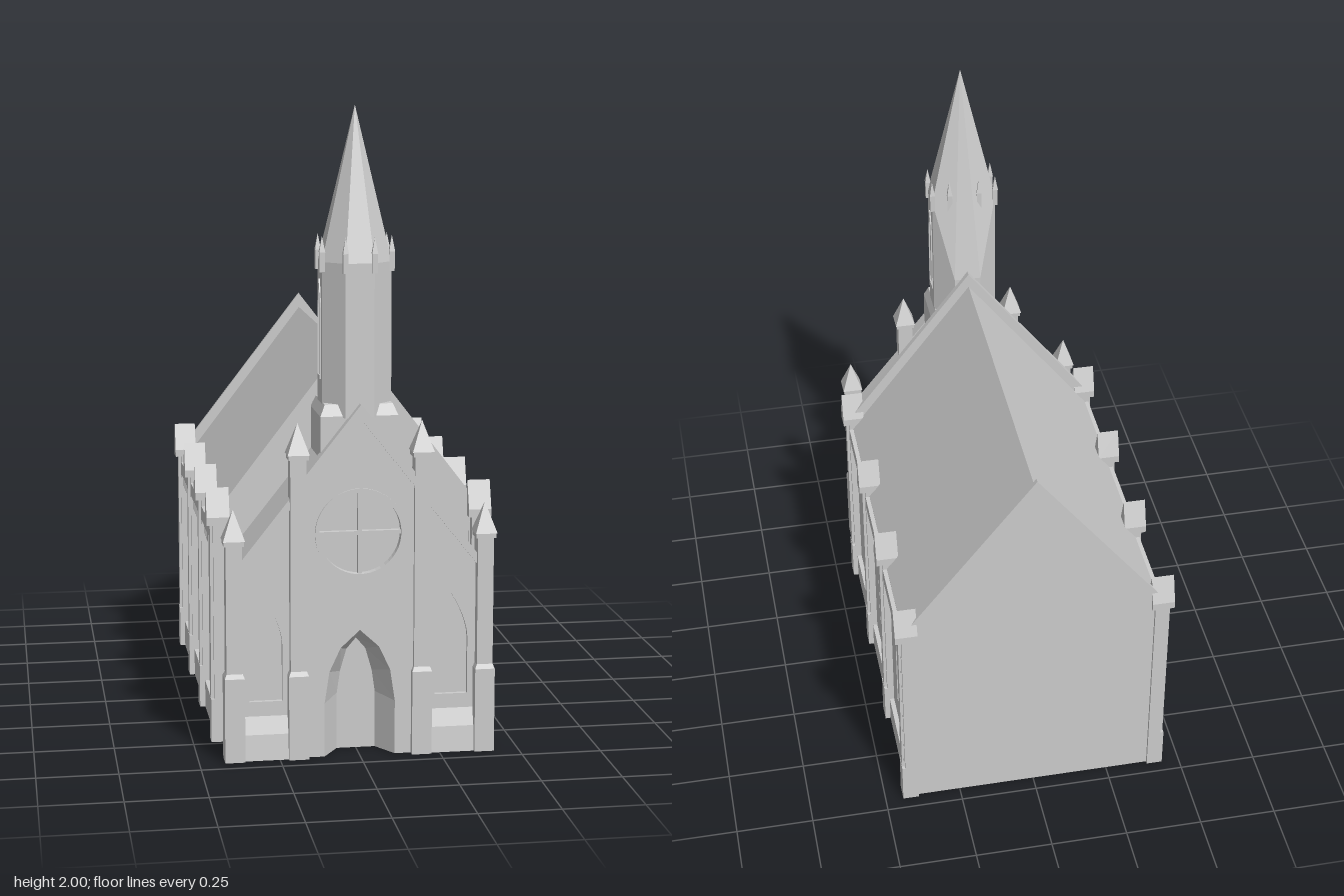
import * as THREE from 'three';

const mat = new THREE.MeshStandardMaterial({ color: 0xcccccc, flatShading: true, side: THREE.DoubleSide });

function add(parent, name, geo, x = 0, y = 0, z = 0) {
  const m = new THREE.Mesh(geo, mat);
  m.name = name;
  m.position.set(x, y, z);
  parent.add(m);
  return m;
}
// box given by its min and max corners
function box(parent, name, x0, x1, y0, y1, z0, z1) {
  return add(parent, name, new THREE.BoxGeometry(x1 - x0, y1 - y0, z1 - z0), (x0 + x1) / 2, (y0 + y1) / 2, (z0 + z1) / 2);
}
const shapeOf = (pts) => new THREE.Shape(pts.map(([x, y]) => new THREE.Vector2(x, y)));
function slab(parent, name, shape, z0, z1) {
  return add(parent, name, new THREE.ExtrudeGeometry(shape, { depth: z1 - z0, bevelEnabled: false, curveSegments: 24 }), 0, 0, z0);
}
// pointed arch outline, counter-clockwise from bottom left
function archPts(cx, w, y0, spring, top, n = 6) {
  const right = [];
  for (let i = 0; i <= n; i++) {
    const t = i / n;
    right.push([w * (1 - Math.pow(t, 1.7)), spring + (top - spring) * t]);
  }
  const left = right.slice(0, -1).reverse().map(([x, y]) => [-x, y]);
  return [[-w, y0], [w, y0], ...right, ...left].map(([x, y]) => [x + cx, y]);
}
const gable = (w, apex, slope) => shapeOf([[-w, 0], [w, 0], [w, apex - slope * w], [0, apex], [-w, apex - slope * w]]);
// inverted V band following a gable
const chevron = (w, apex, slope, t) => shapeOf([
  [-w, apex - slope * w], [-w, apex - slope * w - t], [0, apex - t],
  [w, apex - slope * w - t], [w, apex - slope * w], [0, apex]]);
// four-sided pyramid with faces along the axes
function pyramid(parent, name, half, y0, y1, x, z) {
  const g = new THREE.ConeGeometry(half * Math.SQRT2, y1 - y0, 4).rotateY(Math.PI / 4);
  return add(parent, name, g, x, (y0 + y1) / 2, z);
}
function triangles(pts) {
  const g = new THREE.BufferGeometry();
  g.setAttribute('position', new THREE.Float32BufferAttribute(pts.flat(), 3));
  g.computeVertexNormals();
  return g;
}

// one long wall of the nave, facing +x, centred on z = 0
function naveSide() {
  const g = new THREE.Group();
  const wall = shapeOf([[-0.57, 0], [0.57, 0], [0.57, 0.66], [-0.57, 0.66]]);
  for (const c of [-0.38, 0, 0.38]) {
    wall.holes.push(shapeOf(archPts(c, 0.075, 0.175, 0.37, 0.535)));
    const pane = add(g, 'naveWindowPane', new THREE.ShapeGeometry(shapeOf(archPts(c, 0.076, 0.174, 0.37, 0.537))), 0.39);
    pane.rotation.y = Math.PI / 2;
  }
  slab(g, 'naveWall', wall, 0, 0.025).rotation.y = Math.PI / 2;
  g.children[g.children.length - 1].position.set(0.385, 0, 0);
  box(g, 'navePlinth', 0.40, 0.425, 0, 0.09, -0.57, 0.57);
  box(g, 'naveCornice', 0.385, 0.432, 0.635, 0.68, -0.57, 0.57);
  // dentils under the cornice
  for (let b = -1; b <= 1; b++) {
    for (let i = 0; i < 9; i++) {
      const z = b * 0.38 + (i - 4) * 0.036;
      box(g, 'dentil', 0.40, 0.425, 0.592, 0.636, z - 0.01, z + 0.01);
    }
  }
  // stepped buttresses with gabled caps
  for (const z of [-0.57, -0.19, 0.19, 0.57]) {
    box(g, 'buttressBase', 0.39, 0.442, 0, 0.14, z - 0.028, z + 0.028);
    box(g, 'buttressShaft', 0.39, 0.432, 0.14, 0.72, z - 0.028, z + 0.028);
    box(g, 'buttressRib', 0.39, 0.441, 0.14, 0.72, z - 0.016, z + 0.016);
    const cap = shapeOf([[-0.03, 0.7], [0.03, 0.7], [0.03, 0.725], [0, 0.815], [-0.03, 0.725]]);
    const m = slab(g, 'buttressCap', cap, 0, 0.072);
    m.rotation.y = Math.PI / 2;
    m.position.set(0.38, 0, z);
  }
  return g;
}

function nave() {
  const g = new THREE.Group();
  g.name = 'nave';
  for (const r of [0, Math.PI]) {
    const side = naveSide();
    side.name = r ? 'naveRightSide' : 'naveLeftSide';
    side.position.z = -0.1125;
    side.rotation.y = r;
    g.add(side);
  }
  slab(g, 'naveRoof', chevron(0.418, 1.23, 1.31, 0.03), -0.69, 0.445);
  slab(g, 'rearGable', gable(0.435, 1.28, 1.3), -0.70, -0.685);
  const front = gable(0.41, 1.28, 1.3);
  front.holes.push(shapeOf([[-0.3, 0.01], [0.3, 0.01], [0.3, 0.55], [-0.3, 0.55]]));
  slab(g, 'frontGable', front, 0.435, 0.455);
  return g;
}

// buttress with a pyramid cap on the entrance front
function pinnacle(parent, x, top) {
  const z = 0.668, cap = top - 0.095;
  box(parent, 'pinnacleBase', x - 0.031, x + 0.031, 0, 0.265, z - 0.032, z + 0.032);
  pyramid(parent, 'pinnacleStep', 0.031, 0.265, 0.34, x, z);
  box(parent, 'pinnacleShaft', x - 0.025, x + 0.025, 0.265, cap - 0.015, z - 0.025, z + 0.025);
  box(parent, 'pinnacleCollar', x - 0.031, x + 0.031, cap - 0.015, cap, z - 0.031, z + 0.031);
  pyramid(parent, 'pinnacleCap', 0.034, cap, top, x, z);
}

function entrance() {
  const g = new THREE.Group();
  g.name = 'entrance';
  const slope = 1.26, top = (x) => 1.09 - slope * x;
  slab(g, 'entranceRoof', chevron(0.393, 1.085, slope, 0.03), 0.45, 0.65);
  for (const s of [-1, 1]) {
    box(g, 'entranceSideWall', Math.min(s * 0.37, s * 0.39), Math.max(s * 0.37, s * 0.39), 0, 0.6, 0.45, 0.66);
    // side bay with lancet window and sloping sill
    const bay = shapeOf([[s * 0.18, 0], [s * 0.39, 0], [s * 0.39, top(0.39)], [s * 0.18, top(0.18)]]);
    bay.holes.push(shapeOf(archPts(s * 0.29, 0.051, 0.18, 0.36, 0.5)));
    slab(g, 'sideBay', bay, 0.645, 0.662);
    add(g, 'sideBayPane', new THREE.ShapeGeometry(shapeOf(archPts(s * 0.29, 0.052, 0.179, 0.36, 0.501))), 0, 0, 0.648);
    const sill = slab(g, 'sideBaySill', shapeOf([[-0.69, 0], [-0.66, 0], [-0.66, 0.14], [-0.68, 0.08]]), 0, 0.17);
    sill.rotation.y = Math.PI / 2;
    sill.position.set(s * 0.29 - 0.085, 0, 0);
    pinnacle(g, s * 0.39, 0.79);
    pinnacle(g, s * 0.192, 1.05);
  }
  slab(g, 'sideCoping', chevron(0.37, 1.092, slope, 0.035), 0.642, 0.68);

  // centre bay with portal and rose window openings
  const outer = [[0.11, 0], [0.11, 0.17], [0.095, 0.27], [0.06, 0.345], [0, 0.4]];
  const inner = [[0.06, 0], [0.06, 0.18], [0.05, 0.25], [0.03, 0.32], [0, 0.355]];
  const mirror = (p) => [...p, ...p.slice(0, -1).reverse().map(([x, y]) => [-x, y])];
  const o = mirror(outer), n = mirror(inner);
  const centre = shapeOf([...o.slice().reverse(), [0.185, 0], [0.185, top(0.185)], [0, top(0)], [-0.185, top(0.185)], [-0.185, 0]]);
  centre.holes.push(new THREE.Path().absarc(0, 0.705, 0.14, 0, Math.PI * 2, true));
  slab(g, 'centreBay', centre, 0.655, 0.678);
  slab(g, 'centreCoping', chevron(0.185, 1.105, slope, 0.045), 0.645, 0.692);

  // splayed portal reveal and door
  const tri = [];
  for (let i = 0; i < o.length - 1; i++) {
    const a = [...o[i], 0.678], b = [...o[i + 1], 0.678], c = [...n[i + 1], 0.6], d = [...n[i], 0.6];
    tri.push(a, b, c, a, c, d);
  }
  add(g, 'portalReveal', triangles(tri));
  add(g, 'door', new THREE.ShapeGeometry(shapeOf(n)), 0, 0, 0.6);

  // rose window
  add(g, 'rosePane', new THREE.CircleGeometry(0.142, 32), 0, 0.705, 0.658);
  const ring = new THREE.Shape().absarc(0, 0.705, 0.14, 0, Math.PI * 2, false);
  ring.holes.push(new THREE.Path().absarc(0, 0.705, 0.127, 0, Math.PI * 2, true));
  slab(g, 'roseRing', ring, 0.658, 0.684);
  box(g, 'roseMullion', -0.006, 0.006, 0.575, 0.835, 0.655, 0.675);
  box(g, 'roseTransom', -0.13, 0.13, 0.699, 0.711, 0.655, 0.675);
  return g;
}

function tower() {
  const g = new THREE.Group();
  g.name = 'tower';
  const cz = 0.56, R = 0.107 / Math.cos(Math.PI / 8);
  box(g, 'towerBase', -0.12, 0.12, 0.93, 1.065, 0.45, 0.66);
  const taper = new THREE.CylinderGeometry(0.105 * Math.SQRT2, 0.12 * Math.SQRT2, 0.035, 4).rotateY(Math.PI / 4).scale(1, 1, 0.875);
  add(g, 'towerBaseChamfer', taper, 0, 1.0825, 0.555);

  // octagonal shaft; the spire runs further down at the back
  const corner = (k, y) => {
    const a = (k + 0.5) * Math.PI / 4;
    return [R * Math.sin(a), y, cz + R * Math.cos(a)];
  };
  const eave = (k) => (k % 8 === 3 || k % 8 === 4 ? 1.25 : 1.53);
  const shaft = [], spire = [];
  for (let k = 0; k < 8; k++) {
    const b0 = corner(k, 1.06), b1 = corner(k + 1, 1.06), t0 = corner(k, eave(k)), t1 = corner(k + 1, eave(k + 1));
    shaft.push(b0, b1, t1, b0, t1, t0);
    spire.push(t0, t1, [0, 2, cz]);
    // small pinnacles around the eave
    const back = k === 3 || k === 4;
    const [x, , z] = corner(k, 0);
    const px = back ? Math.sign(x) * 0.05 : x, pz = back ? 0.505 : z;
    box(g, 'spirelet', px - 0.008, px + 0.008, 1.5, 1.56, pz - 0.008, pz + 0.008);
    pyramid(g, 'spireletCap', 0.009, 1.56, 1.61, px, pz);
  }
  add(g, 'towerShaft', triangles(shaft));
  add(g, 'spire', triangles(spire));

  // raised lancet frames on both sides
  for (const s of [-1, 1]) {
    const frame = shapeOf(archPts(0, 0.024, 1.17, 1.39, 1.475));
    frame.holes.push(shapeOf(archPts(0, 0.018, 1.18, 1.385, 1.455)));
    const m = slab(g, 'towerLancet', frame, 0, 0.006);
    m.rotation.y = s * Math.PI / 2;
    m.position.set(s * 0.105, 0, cz);
  }
  return g;
}

export function createModel() {
  const model = new THREE.Group();
  model.name = 'church';
  model.add(nave(), entrance(), tower());
  return model;
}
